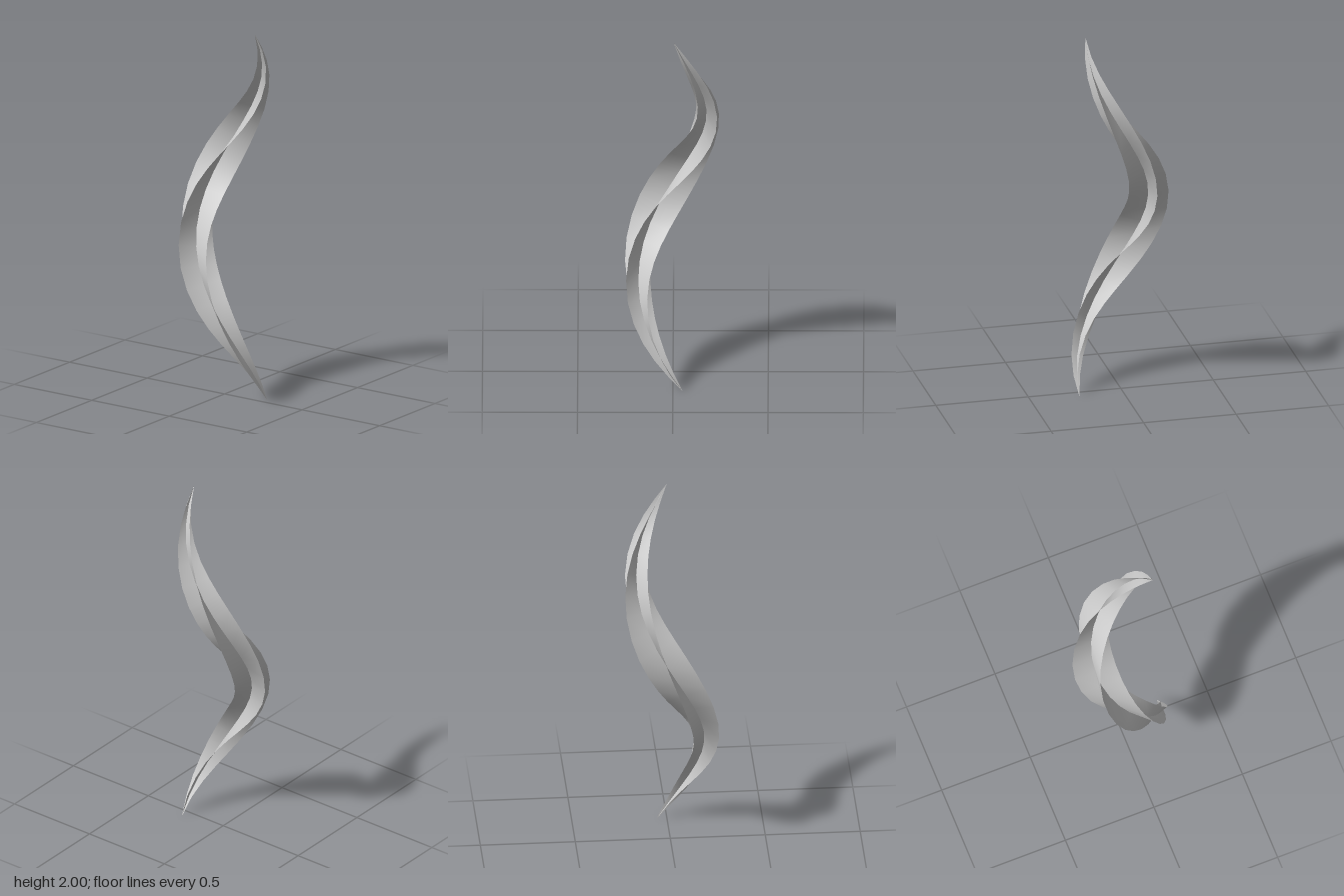
import * as THREE from 'three';

const SEGMENTS = 22;
const deg = THREE.MathUtils.degToRad;

// Frame of the coiled spine at t (0 = bottom tip, 1 = top tip)
function spine(t) {
  const theta = deg(-14 + 372 * t);
  const radius = 0.18 + 0.025 * Math.pow(1 - 2 * t, 3);
  const pitch = Math.atan2(radius * deg(372), 2);
  const c = Math.cos(theta), s = Math.sin(theta);
  return {
    theta,
    centre: new THREE.Vector3(0.037 + radius * c, 2 * t, radius * s),
    normal: new THREE.Vector3(c, 0, s),
    binormal: new THREE.Vector3(-s * Math.cos(pitch), -Math.sin(pitch), c * Math.cos(pitch)),
  };
}

// Thin ribbon across the spine, tapering to both tips and counter-twisting
function ribbonGeometry(turn) {
  const points = [], index = [];
  for (let i = 0; i <= SEGMENTS; i++) {
    const t = i / SEGMENTS;
    const f = spine(t);
    const half = 0.113 * Math.sin(Math.PI * t) + 0.001;
    const roll = deg(180 - 190 * (t - 0.5215)) + turn - f.theta;
    for (const side of [-1, 0, 1]) {
      const p = f.centre.clone()
        .addScaledVector(f.normal, side * half * Math.cos(roll))
        .addScaledVector(f.binormal, side * half * Math.sin(roll));
      points.push(p.x, THREE.MathUtils.clamp(p.y, 0, 2), p.z);
    }
    if (i === SEGMENTS) continue;
    for (let j = 0; j < 2; j++) {
      const a = i * 3 + j;
      index.push(a, a + 1, a + 4, a, a + 4, a + 3);
    }
  }
  const geometry = new THREE.BufferGeometry();
  geometry.setAttribute('position', new THREE.Float32BufferAttribute(points, 3));
  geometry.setIndex(index);
  geometry.computeVertexNormals();
  return geometry;
}

export function createModel() {
  const group = new THREE.Group();
  group.name = 'twistedStreamer';
  const material = new THREE.MeshStandardMaterial({ color: 0xcccccc, side: THREE.DoubleSide });
  // Two ribbons crossing at right angles along the same spine
  ['firstRibbon', 'crossRibbon'].forEach((name, i) => {
    const mesh = new THREE.Mesh(ribbonGeometry(i * Math.PI / 2), material);
    mesh.name = name;
    group.add(mesh);
  });
  return group;
}
